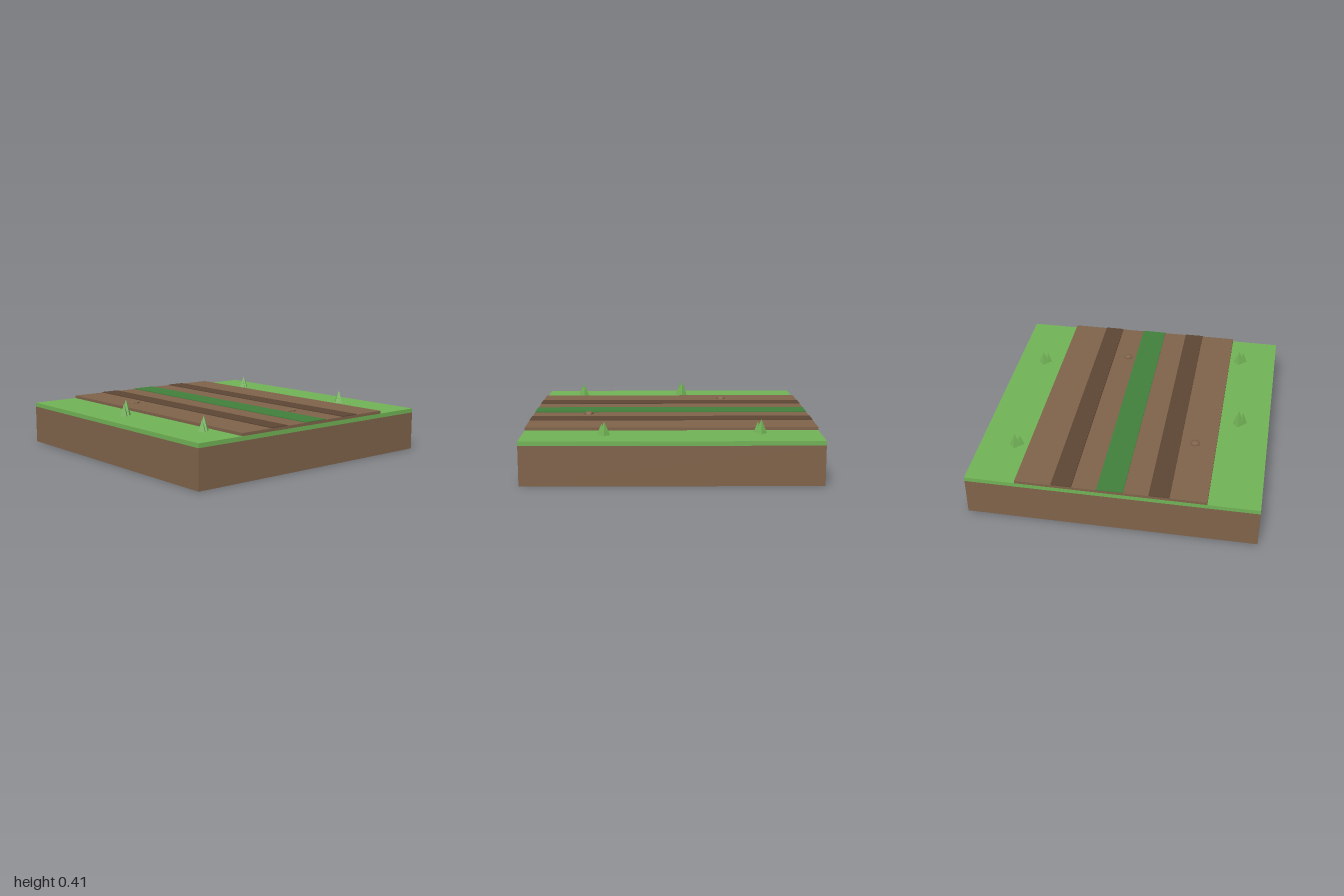
import * as THREE from 'three';

const flat = (name, color) => {
  const m = new THREE.MeshStandardMaterial({ color, flatShading: true });
  m.name = name;
  return m;
};

export function createModel() {
  const group = new THREE.Group();
  group.name = 'dirtRoadTile';

  const soil = flat('soil brown', 0x7f634a);
  const rutBrown = flat('rut brown', 0x5c4635);
  const grass = flat('grass green', 0x71b256);
  const darkGrass = flat('dark grass green', 0x41803c);

  const add = (name, geometry, material, x, y, z, parent = group) => {
    const mesh = new THREE.Mesh(geometry, material);
    mesh.name = name;
    mesh.position.set(x, y, z);
    parent.add(mesh);
    return mesh;
  };

  // full-length slab between two heights
  const slab = (name, width, y0, y1, material, x = 0) =>
    add(name, new THREE.BoxGeometry(width, y1 - y0, 2), material, x, (y0 + y1) / 2, 0);

  // ground layers and road
  slab('soilBase', 2, 0, 0.27, soil);
  slab('grassLayer', 2, 0.27, 0.3, grass);
  slab('roadBed', 1.3, 0.3, 0.32, soil);
  slab('centreGrassStrip', 0.18, 0.32, 0.325, darkGrass);
  for (const side of [-1, 1]) {
    slab(side > 0 ? 'leftWheelRut' : 'rightWheelRut', 0.14, 0.32, 0.325, rutBrown, side * 0.33);
  }

  // grass tufts: a tall blade with a smaller one beside it
  const tufts = [
    [-0.78, -0.1, 0.115],
    [-0.72, 0.7, 0.1],
    [0.75, -0.6, 0.095],
    [0.8, 0.45, 0.09],
  ];
  for (const [x, z, h] of tufts) {
    const tuft = new THREE.Group();
    tuft.name = 'grassTuft';
    tuft.position.set(x, 0.3, z);
    group.add(tuft);
    const h2 = h * 0.78;
    add('tallBlade', new THREE.ConeGeometry(0.04, h, 4), grass, 0, h / 2, 0, tuft);
    add('shortBlade', new THREE.ConeGeometry(0.03, h2, 4), grass, -0.03, h2 / 2, 0.02, tuft);
  }

  // flattened stones half sunk in the road
  for (const [x, z] of [[-0.5, -0.4], [0.15, 0.6]]) {
    const stone = add('stone', new THREE.DodecahedronGeometry(0.038), soil, x, 0.321, z);
    stone.scale.y = 0.5;
  }

  return group;
}
